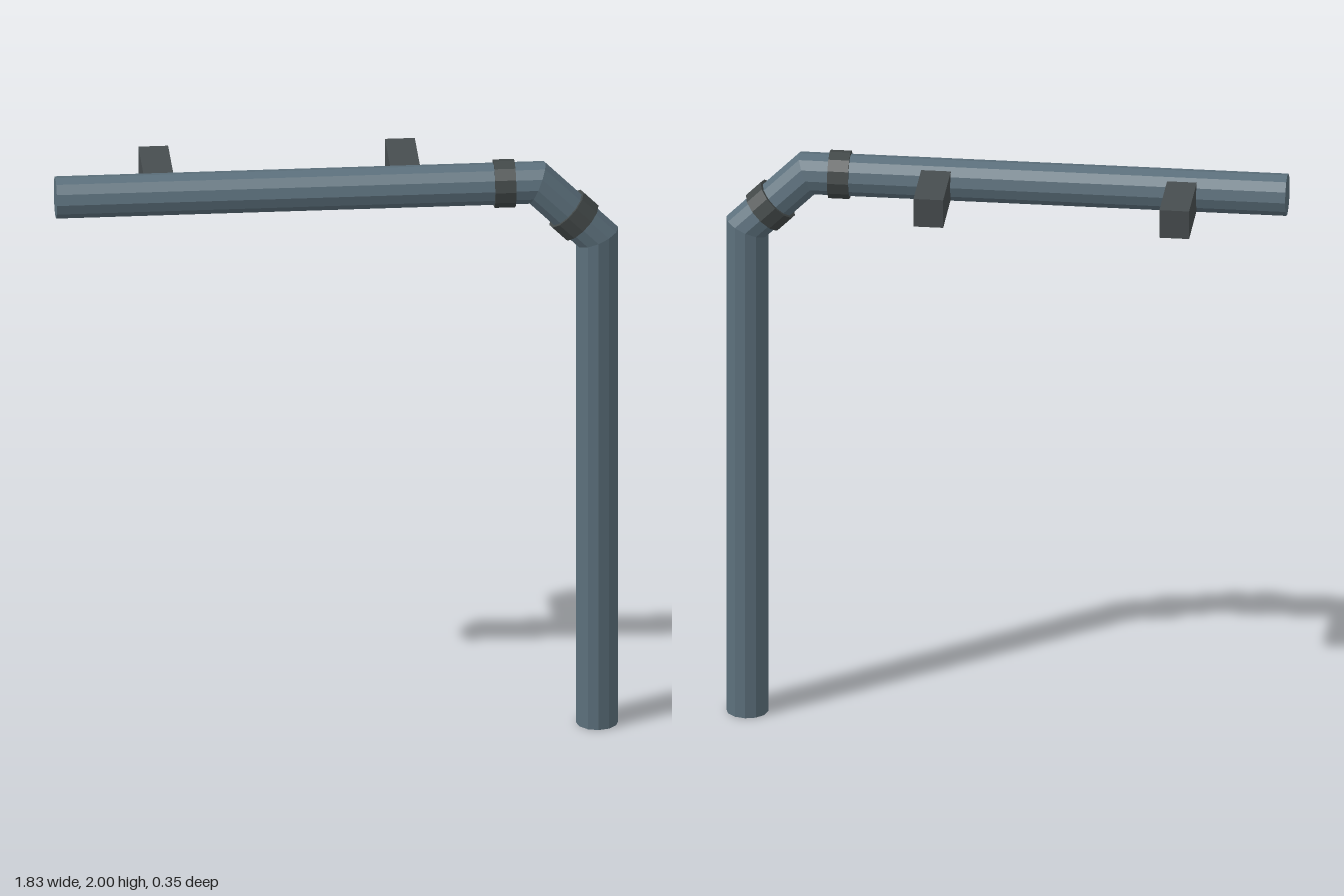
import * as THREE from 'three';

const SIDES = 12;
const PIPE_Z = 0.097;
const PIPE_Y = 1.921;

// Round pipe swept along a path in the XY plane, with mitred corners and closed ends
function mitredPipe(path, radius) {
  const positions = [];
  const index = [];
  const dirs = path.slice(1).map((p, i) => p.clone().sub(path[i]).normalize());
  path.forEach((p, i) => {
    const a = dirs[Math.max(i - 1, 0)];
    const b = dirs[Math.min(i, dirs.length - 1)];
    const t = a.clone().add(b).normalize();
    const stretch = radius / t.dot(a);
    for (let j = 0; j < SIDES; j++) {
      const ang = (j / SIDES) * Math.PI * 2;
      const n = Math.cos(ang) * stretch;
      positions.push(p.x - t.y * n, p.y + t.x * n, Math.sin(ang) * radius);
    }
  });
  const last = (path.length - 1) * SIDES;
  const startCentre = path.length * SIDES;
  const end = path[path.length - 1];
  positions.push(path[0].x, path[0].y, 0, end.x, end.y, 0);
  for (let j = 0; j < SIDES; j++) {
    const k = (j + 1) % SIDES;
    for (let r = 0; r < last; r += SIDES) {
      index.push(r + j, r + k, r + SIDES + k, r + j, r + SIDES + k, r + SIDES + j);
    }
    index.push(startCentre, k, j, startCentre + 1, last + j, last + k);
  }
  const indexed = new THREE.BufferGeometry();
  indexed.setAttribute('position', new THREE.Float32BufferAttribute(positions, 3));
  indexed.setIndex(index);
  const geometry = indexed.toNonIndexed();
  geometry.computeVertexNormals();
  return geometry;
}

export function createModel() {
  const model = new THREE.Group();
  model.name = 'drainPipe';

  const pipeMaterial = new THREE.MeshStandardMaterial({ color: 0x5c707c, flatShading: true });
  pipeMaterial.name = 'blue grey pipe';
  const collarMaterial = new THREE.MeshStandardMaterial({ color: 0x424848, flatShading: true });
  collarMaterial.name = 'dark grey collar';
  const bracketMaterial = new THREE.MeshStandardMaterial({ color: 0x474d4f, flatShading: true });
  bracketMaterial.name = 'grey bracket';

  const add = (name, geometry, material, x, y, z) => {
    const mesh = new THREE.Mesh(geometry, material);
    mesh.name = name;
    mesh.position.set(x, y, z);
    model.add(mesh);
    return mesh;
  };

  // Horizontal run, diagonal elbow and downpipe
  const path = [
    new THREE.Vector2(-0.915, PIPE_Y),
    new THREE.Vector2(0.65, PIPE_Y),
    new THREE.Vector2(0.846, 1.725),
    new THREE.Vector2(0.846, 0),
  ];
  add('pipe', mitredPipe(path, 0.069), pipeMaterial, 0, 0, PIPE_Z);

  // Joint collars on the horizontal run and the diagonal
  const collar = new THREE.CylinderGeometry(0.079, 0.079, 0.068, SIDES);
  add('upperCollar', collar, collarMaterial, 0.544, PIPE_Y, PIPE_Z).rotation.z = Math.PI / 2;
  add('elbowCollar', collar, collarMaterial, 0.771, 1.8, PIPE_Z).rotation.z = Math.PI / 4;

  // Wall brackets reaching back from the pipe
  const bracket = new THREE.BoxGeometry(0.097, 0.098, 0.256);
  add('rightBracket', bracket, bracketMaterial, -0.576, PIPE_Y, -0.048);
  add('leftBracket', bracket, bracketMaterial, 0.226, PIPE_Y, -0.048);

  return model;
}
